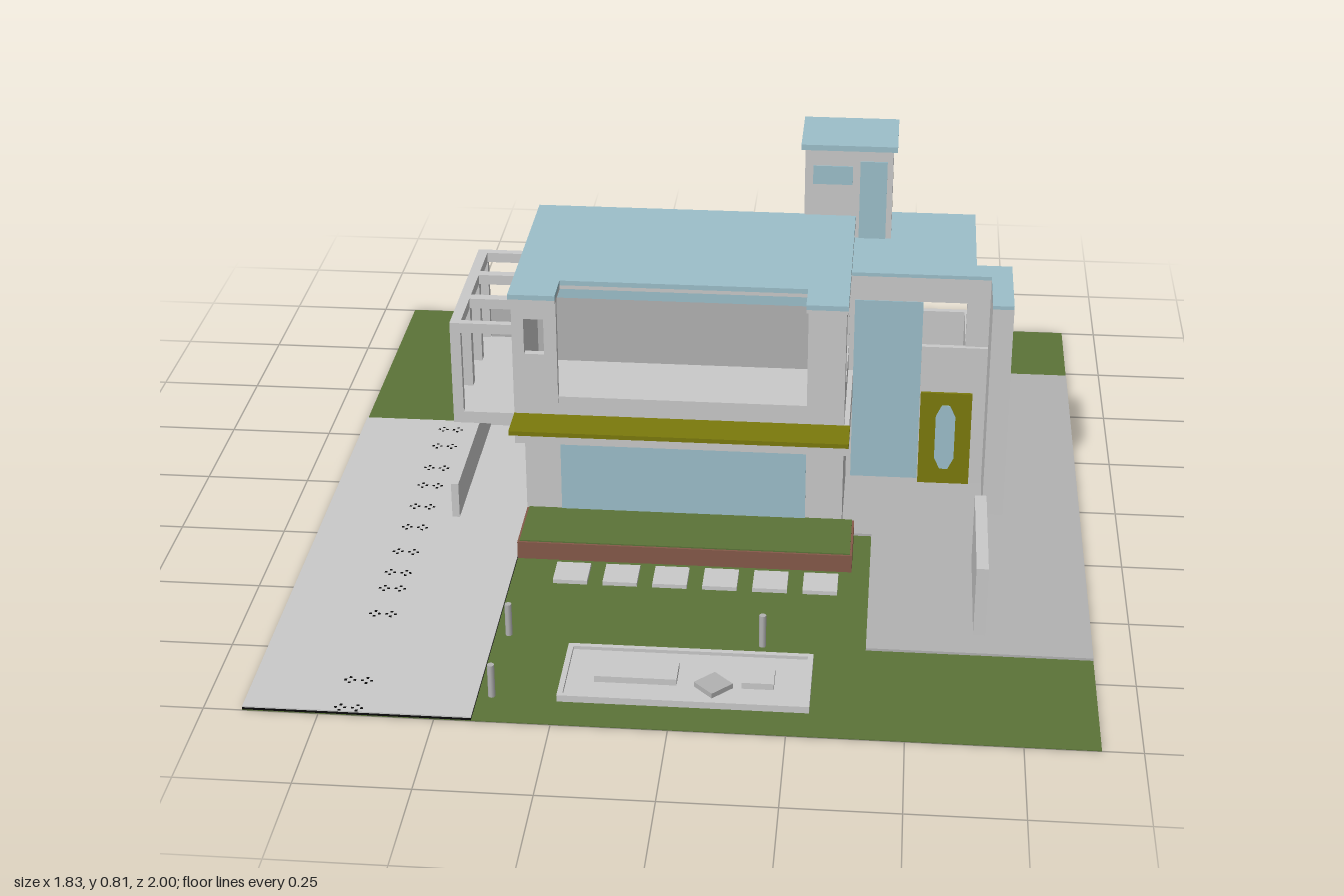
import * as THREE from 'three';

const paint = (name, color) => Object.assign(new THREE.MeshStandardMaterial({ color }), { name });

export function createModel() {
  const model = new THREE.Group();
  model.name = 'modernHouse';
  const wall = paint('lightConcrete', 0xc9c9c9);
  const paving = paint('darkConcrete', 0xb2b2b2);
  const blue = paint('paleBlue', 0x9cbfca);
  const grass = paint('grassGreen', 0x5b7338);
  const olive = paint('olive', 0x7b7a0c);
  const brown = paint('brickBrown', 0x855949);
  const black = paint('black', 0x0a0a0a);
  grass.side = THREE.DoubleSide;

  const add = (name, geo, mat) => {
    const m = new THREE.Mesh(geo, mat);
    m.name = name;
    model.add(m);
    return m;
  };
  // box given by its limits
  const box = (name, mat, x0, x1, y0, y1, z0, z1) => {
    const m = add(name, new THREE.BoxGeometry(x1 - x0, y1 - y0, z1 - z0), mat);
    m.position.set((x0 + x1) / 2, (y0 + y1) / 2, (z0 + z1) / 2);
    return m;
  };
  // flat slab with an [x, z] outline
  const slab = (name, mat, pts, y0, y1) => {
    const s = new THREE.Shape(pts.map(([x, z]) => new THREE.Vector2(x, -z)));
    const g = new THREE.ExtrudeGeometry(s, { depth: y1 - y0, bevelEnabled: false });
    g.rotateX(-Math.PI / 2).translate(0, y0, 0);
    return add(name, g, mat);
  };
  // upright panel with an [x, y] outline and optional rectangular hole
  const panel = (name, mat, pts, z0, z1, hole) => {
    const vec = (list) => list.map(([x, y]) => new THREE.Vector2(x, y));
    const s = new THREE.Shape(vec(pts));
    if (hole) s.holes.push(new THREE.Path(vec(hole)));
    const g = new THREE.ExtrudeGeometry(s, { depth: z1 - z0, bevelEnabled: false });
    return add(name, g.translate(0, 0, z0), mat);
  };
  const rect = (x0, x1, y0, y1) => [[x0, y0], [x1, y0], [x1, y1], [x0, y1]];

  // Ground
  slab('lawn', grass, rect(-0.915, 0.912, -1, 1), 0, 0.002);
  box('drivewayBase', black, -0.915, -0.42, 0.002, 0.006, -0.33, 1);
  box('driveway', wall, -0.915, -0.42, 0.006, 0.009, -0.33, 0.998);
  slab('paving', paving, [[-0.42, -0.725], [0.912, -0.725], [0.912, 0.66], [0.41, 0.66],
    [0.41, 0.16], [-0.42, 0.16]], 0.002, 0.008);
  // Small drain holes along the driveway
  for (const z of [-0.28, -0.19, -0.075, 0.015, 0.12, 0.22, 0.335, 0.43, 0.5, 0.61, 0.88, 0.985])
    for (const x of [-0.705, -0.668])
      for (const [dx, dz] of [[0.01, 0], [-0.01, 0], [0, 0.01], [0, -0.01]])
        box('drainHole', black, x + dx - 0.003, x + dx + 0.003, 0.009, 0.0095, z + dz - 0.003, z + dz + 0.003);

  // Garden
  box('planter', brown, -0.42, 0.368, 0, 0.046, 0.165, 0.33);
  box('planterGrass', grass, -0.415, 0.363, 0.046, 0.049, 0.165, 0.325);
  for (let i = 0; i < 6; i++) {
    const x = -0.282 + i * 0.116;
    box('steppingStone', wall, x - 0.04, x + 0.04, 0.002, 0.012, 0.355, 0.435);
  }
  box('gardenBedFloor', wall, -0.248, 0.296, 0.002, 0.01, 0.708, 0.915);
  for (const [a, b] of [[0.708, 0.72], [0.903, 0.915]]) box('gardenBedRim', wall, -0.248, 0.296, 0.002, 0.018, a, b);
  for (const [a, b] of [[-0.248, -0.236], [0.284, 0.296]]) box('gardenBedRim', wall, a, b, 0.002, 0.018, 0.72, 0.903);
  box('longBench', wall, -0.175, 0.005, 0.01, 0.025, 0.775, 0.845);
  box('shortBench', wall, 0.146, 0.216, 0.01, 0.025, 0.775, 0.845);
  box('turnedBench', paving, 0.055, 0.115, 0.01, 0.022, 0.815, 0.875).rotation.y = Math.PI / 4;
  for (const [x, z] of [[-0.39, 0.66], [0.18, 0.66], [-0.39, 0.905]])
    add('gardenPost', new THREE.CylinderGeometry(0.008, 0.008, 0.08, 8), paving).position.set(x, 0.042, z);
  box('freestandingWall', wall, 0.648, 0.675, 0, 0.18, 0.255, 0.585);

  // Main block
  box('groundFloor', wall, -0.42, 0.338, 0, 0.24, -0.33, 0.165);
  box('groundGlass', blue, -0.335, 0.25, 0.045, 0.235, 0.165, 0.168);
  box('floorBand', wall, -0.44, 0.35, 0.235, 0.305, -0.12, 0.19);
  box('floorBandRear', wall, -0.44, 0.338, 0.235, 0.31, -0.33, -0.12);
  box('awning', olive, -0.44, 0.352, 0.302, 0.313, 0.185, 0.278);
  box('upperFloor', wall, -0.44, 0.338, 0.305, 0.612, -0.33, -0.12);
  box('balconyBackWall', paving, -0.425, 0.325, 0.305, 0.475, -0.12, -0.116);
  box('balconyGlass', blue, -0.425, 0.325, 0.475, 0.605, -0.12, -0.116);
  box('balconyParapet', wall, -0.335, 0.25, 0.305, 0.358, 0.165, 0.18);
  panel('leftFrontPier', wall, rect(-0.44, -0.335, 0.305, 0.612), 0.165, 0.182,
    rect(-0.412, -0.365, 0.468, 0.558));
  box('rightFrontPier', wall, 0.25, 0.338, 0.305, 0.612, 0.165, 0.182);
  box('leftBalconyWall', wall, -0.44, -0.425, 0.305, 0.612, -0.12, 0.165);
  box('rightBalconySill', wall, 0.323, 0.338, 0.305, 0.37, -0.12, 0.105);
  box('rightBalconyHeader', wall, 0.323, 0.338, 0.555, 0.612, -0.12, 0.105);
  box('rightBalconyPier', wall, 0.323, 0.338, 0.305, 0.612, 0.105, 0.165);
  const roofOutline = [[-0.445, -0.335], [0.342, -0.335], [0.342, 0.195], [0.245, 0.195],
    [0.245, 0.108], [-0.335, 0.108], [-0.335, 0.195], [-0.445, 0.195]];
  slab('mainRoofUnderside', wall, roofOutline, 0.604, 0.613);
  slab('mainRoof', blue, roofOutline, 0.613, 0.625);

  // Tower
  box('tower', wall, 0.215, 0.43, 0, 0.797, -0.5, -0.33);
  box('towerRoof', blue, 0.205, 0.44, 0.797, 0.811, -0.515, -0.325);
  for (const [z0, z1] of [[-0.33, -0.327], [-0.503, -0.5]]) {
    box('towerSmallWindow', blue, 0.235, 0.332, 0.708, 0.756, z0, z1);
    box('towerTallWindow', blue, 0.35, 0.416, 0.56, 0.77, z0, z1);
  }

  // Entrance wing
  const wing = [[0.338, -0.33], [0.43, -0.33], [0.43, -0.498], [0.64, -0.498], [0.64, -0.187],
    [0.725, -0.187], [0.725, 0.04], [0.675, 0.04], [0.675, -0.122], [0.338, -0.122]];
  slab('wingRoofSlab', wall, wing, 0.495, 0.558);
  slab('wingRoof', blue, wing, 0.558, 0.567);
  box('hallBlock', wall, 0.338, 0.515, 0, 0.496, -0.3, -0.126);
  box('hallGlass', blue, 0.35, 0.515, 0.01, 0.494, -0.126, -0.122);
  box('wingSideWall', wall, 0.62, 0.64, 0, 0.38, -0.33, -0.125);
  box('wingBackWall', wall, 0.43, 0.64, 0, 0.38, -0.33, -0.315);
  box('entranceWall', wall, 0.515, 0.676, 0, 0.38, -0.126, -0.112);
  box('entrancePost', wall, 0.62, 0.645, 0.38, 0.496, -0.14, -0.122);
  box('finWall', wall, 0.675, 0.725, 0, 0.496, -0.187, 0.04);
  box('finWallReturn', wall, 0.64, 0.675, 0, 0.496, -0.187, -0.122);
  box('frontDoor', olive, 0.517, 0.643, 0.008, 0.258, -0.112, -0.105);
  panel('frontDoorWindow', blue, [[0.57, 0.05], [0.59, 0.05], [0.604, 0.08], [0.604, 0.195],
    [0.59, 0.225], [0.57, 0.225], [0.556, 0.195], [0.556, 0.08]], -0.105, -0.102);

  // Side porch with open terrace above
  box('porchBackWall', wall, -0.6, -0.42, 0, 0.235, -0.33, -0.315);
  box('porchRearGlass', blue, -0.592, -0.448, 0.02, 0.21, -0.333, -0.33);
  box('porchFrontGlass', blue, -0.585, -0.525, 0.02, 0.215, -0.315, -0.312);
  box('sideDoor', wall, -0.52, -0.425, 0.01, 0.215, -0.315, -0.31);
  const porthole = add('doorPorthole', new THREE.CylinderGeometry(0.028, 0.028, 0.004, 24), blue);
  porthole.rotation.x = Math.PI / 2;
  porthole.position.set(-0.475, 0.146, -0.309);
  box('doorHandle', black, -0.517, -0.511, 0.075, 0.105, -0.31, -0.302);
  box('porchLowWall', wall, -0.605, -0.587, 0, 0.1, -0.33, 0.162);
  box('terraceFloor', wall, -0.602, -0.44, 0.235, 0.265, -0.33, 0.098);
  box('terraceBackParapet', paving, -0.575, -0.44, 0.265, 0.362, -0.33, -0.315);
  box('pergolaBeam', wall, -0.602, -0.577, 0.475, 0.5, -0.33, 0.098);
  for (const [z0, z1] of [[-0.33, -0.31], [-0.2, -0.177], [-0.064, -0.039], [0.08, 0.098]]) {
    box('pergolaPost', wall, -0.602, -0.577, 0.265, 0.475, z0, z1);
    box('pergolaCrossBeam', wall, -0.577, -0.44, 0.475, 0.5, z0, z1);
  }
  return model;
}
